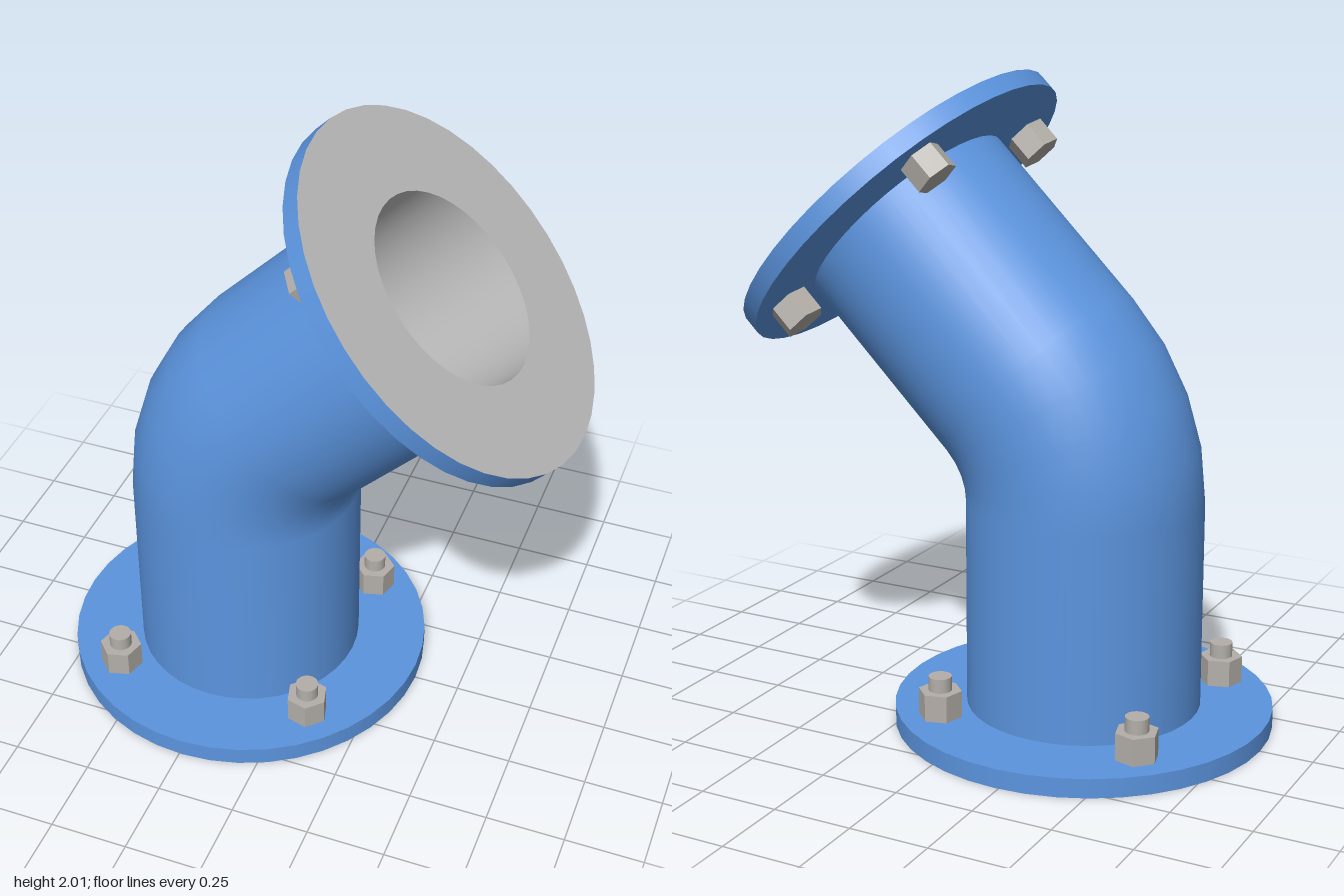
import * as THREE from 'three';

const blue = new THREE.MeshStandardMaterial({ color: 0x5b94de });
blue.name = 'bluePaint';
const grey = new THREE.MeshStandardMaterial({ color: 0xbebebe });
grey.name = 'machinedGrey';
const steel = new THREE.MeshStandardMaterial({ color: 0xb3aea8 });
steel.name = 'boltSteel';

const SIDES = 40;
const BASE_X = -0.24, LEG = 0.93;       // pipe axis and length of each leg to the corner
const BEND = 0.53, ANGLE = Math.PI / 4; // bend radius and turn
const OUTER = 0.367, BORE = 0.31;
const FLANGE_R = 0.592, FLANGE_T = 0.06;
const END = [BASE_X + LEG * Math.SIN_45, LEG + LEG * Math.SIN_45];
END[0] = BASE_X + LEG * Math.sin(ANGLE);
END[1] = LEG + LEG * Math.cos(ANGLE);

function mesh(name, geometry, material) {
  const m = new THREE.Mesh(geometry, material);
  m.name = name;
  return m;
}

// Centre line stations: [x, y, turn angle]
function stations() {
  const startY = LEG - BEND * Math.tan(ANGLE / 2);
  const list = [[BASE_X, 0, 0]];
  for (let i = 0; i <= 4; i++) {
    const a = ANGLE * i / 4;
    list.push([BASE_X + BEND * (1 - Math.cos(a)), startY + BEND * Math.sin(a), a]);
  }
  list.push([END[0], END[1], ANGLE]);
  return list;
}

// Round wall swept along the centre line, facing outward or inward
function pipeWall(radius, inward) {
  const pos = [], nor = [], idx = [];
  const path = stations(), row = SIDES + 1, s = inward ? -1 : 1;
  path.forEach(([x, y, a], i) => {
    for (let j = 0; j <= SIDES; j++) {
      const t = j / SIDES * Math.PI * 2;
      const nx = Math.cos(t) * Math.cos(a), ny = -Math.cos(t) * Math.sin(a), nz = Math.sin(t);
      pos.push(x + radius * nx, y + radius * ny, radius * nz);
      nor.push(s * nx, s * ny, s * nz);
      if (i < path.length - 1 && j < SIDES) {
        const p = i * row + j, q = p + 1, r = p + row, u = r + 1;
        if (inward) idx.push(p, q, r, q, u, r);
        else idx.push(p, r, q, q, r, u);
      }
    }
  });
  const g = new THREE.BufferGeometry();
  g.setAttribute('position', new THREE.Float32BufferAttribute(pos, 3));
  g.setAttribute('normal', new THREE.Float32BufferAttribute(nor, 3));
  g.setIndex(idx);
  return g;
}

// Hexagonal nut, with an optional protruding stud
function bolt(withStud) {
  const g = new THREE.Group();
  g.name = 'bolt';
  const hex = new THREE.CylinderGeometry(0.068, 0.068, 0.085, 6).toNonIndexed();
  hex.computeVertexNormals();
  hex.translate(0, FLANGE_T + 0.0425, 0);
  g.add(mesh('hexNut', hex, steel));
  if (withStud) {
    const stud = new THREE.CylinderGeometry(0.036, 0.036, 0.06, 20);
    stud.translate(0, FLANGE_T + 0.1, 0);
    g.add(mesh('stud', stud, steel));
  }
  return g;
}

// Flange with its mating face at y = 0 and the bolts on the +y side
function flange(name, withStuds) {
  const g = new THREE.Group();
  g.name = name;
  const rim = new THREE.CylinderGeometry(FLANGE_R, FLANGE_R, FLANGE_T, SIDES, 1, true);
  rim.translate(0, FLANGE_T / 2, 0);
  const back = new THREE.RingGeometry(OUTER - 0.01, FLANGE_R, SIDES);
  back.rotateX(-Math.PI / 2).translate(0, FLANGE_T, 0);
  const face = new THREE.RingGeometry(BORE, FLANGE_R, SIDES);
  face.rotateX(Math.PI / 2);
  g.add(mesh('flangeRim', rim, blue), mesh('flangeBack', back, blue), mesh('matingFace', face, grey));
  for (let i = 0; i < 4; i++) {
    const arm = new THREE.Group();
    arm.name = 'boltPosition';
    arm.rotation.y = Math.PI / 4 + i * Math.PI / 2;
    const b = bolt(withStuds);
    b.position.x = 0.467;
    arm.add(b);
    g.add(arm);
  }
  return g;
}

export function createModel() {
  const model = new THREE.Group();
  model.name = 'pipeElbow';
  model.add(mesh('pipeOutside', pipeWall(OUTER, false), blue));
  model.add(mesh('pipeBore', pipeWall(BORE, true), grey));

  const base = flange('baseFlange', true);
  base.position.x = BASE_X;

  const top = flange('topFlange', false);
  top.position.set(END[0], END[1], 0);
  top.rotation.z = Math.PI - ANGLE;

  model.add(base, top);
  return model;
}
